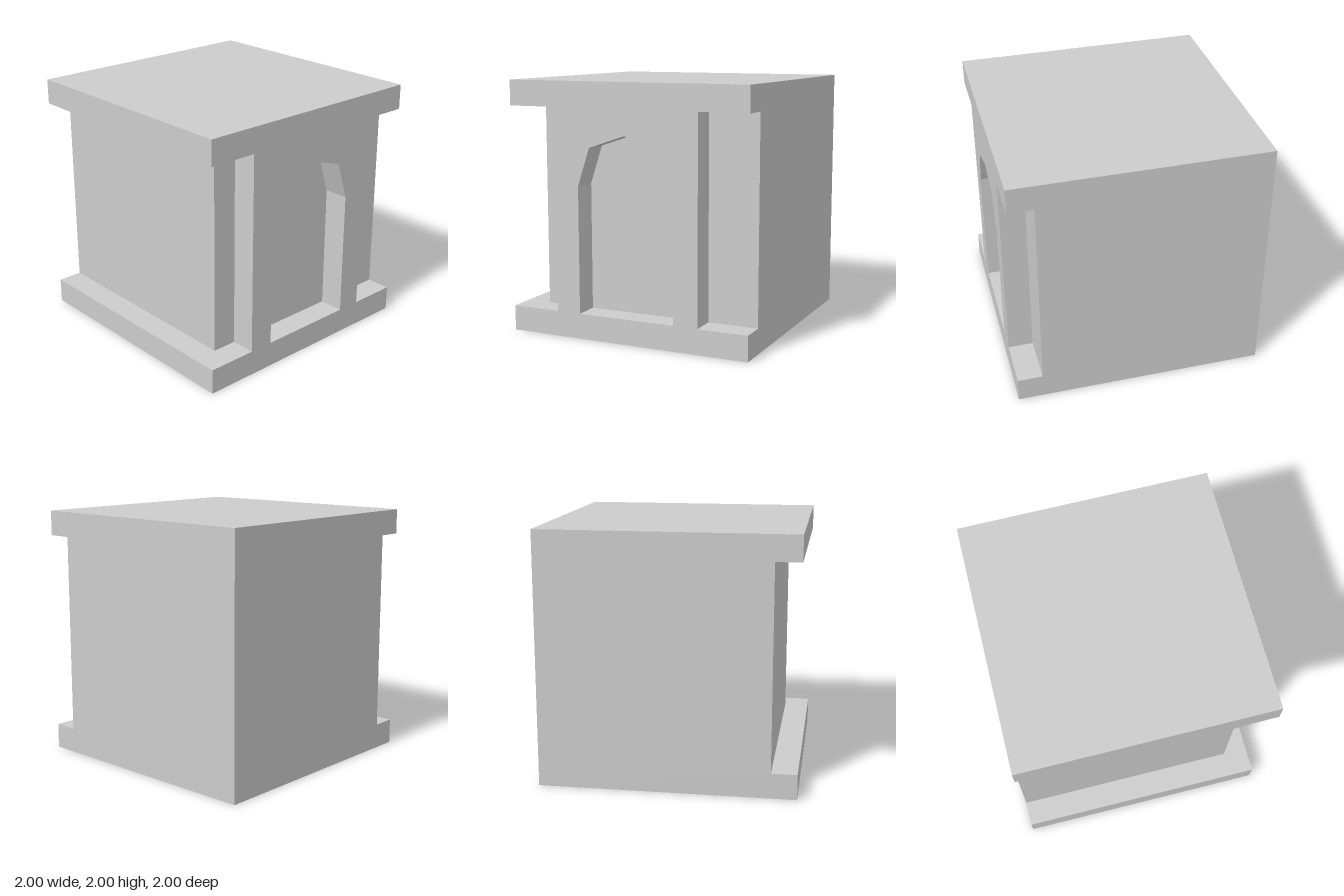
import * as THREE from 'three';

export function createModel() {
  const group = new THREE.Group();
  group.name = 'nicheBlock';
  const stone = new THREE.MeshStandardMaterial({ color: 0xcccccc });
  stone.name = 'pale grey stone';

  function add(name, geometry, x, y, z) {
    const mesh = new THREE.Mesh(geometry, stone);
    mesh.name = name;
    mesh.position.set(x, y, z);
    group.add(mesh);
    return mesh;
  }

  // Base and top slabs
  add('baseSlab', new THREE.BoxGeometry(2, 0.2, 2), 0, 0.1, 0);
  add('topSlab', new THREE.BoxGeometry(2, 0.2, 2), 0, 1.9, 0);

  // Core, set back from the front and left edges, flush with the others
  add('core', new THREE.BoxGeometry(1.8, 1.6, 1.8), -0.1, 1, -0.1);

  // Wall panel on the left side with a faceted arch niche open at its foot
  const outline = [
    [-0.6, 0.2], [-0.4, 0.2], [-0.4, 1.2], [-0.3, 1.5], [0, 1.6],
    [0.3, 1.5], [0.4, 1.2], [0.4, 0.2], [0.6, 0.2], [0.6, 1.8], [-0.6, 1.8],
  ];
  const shape = new THREE.Shape(outline.map(([x, y]) => new THREE.Vector2(x, y)));
  const panel = new THREE.ExtrudeGeometry(shape, { depth: 0.2, bevelEnabled: false });
  panel.rotateY(Math.PI / 2);
  add('archPanel', panel, 0.8, 0, 0);

  return group;
}
